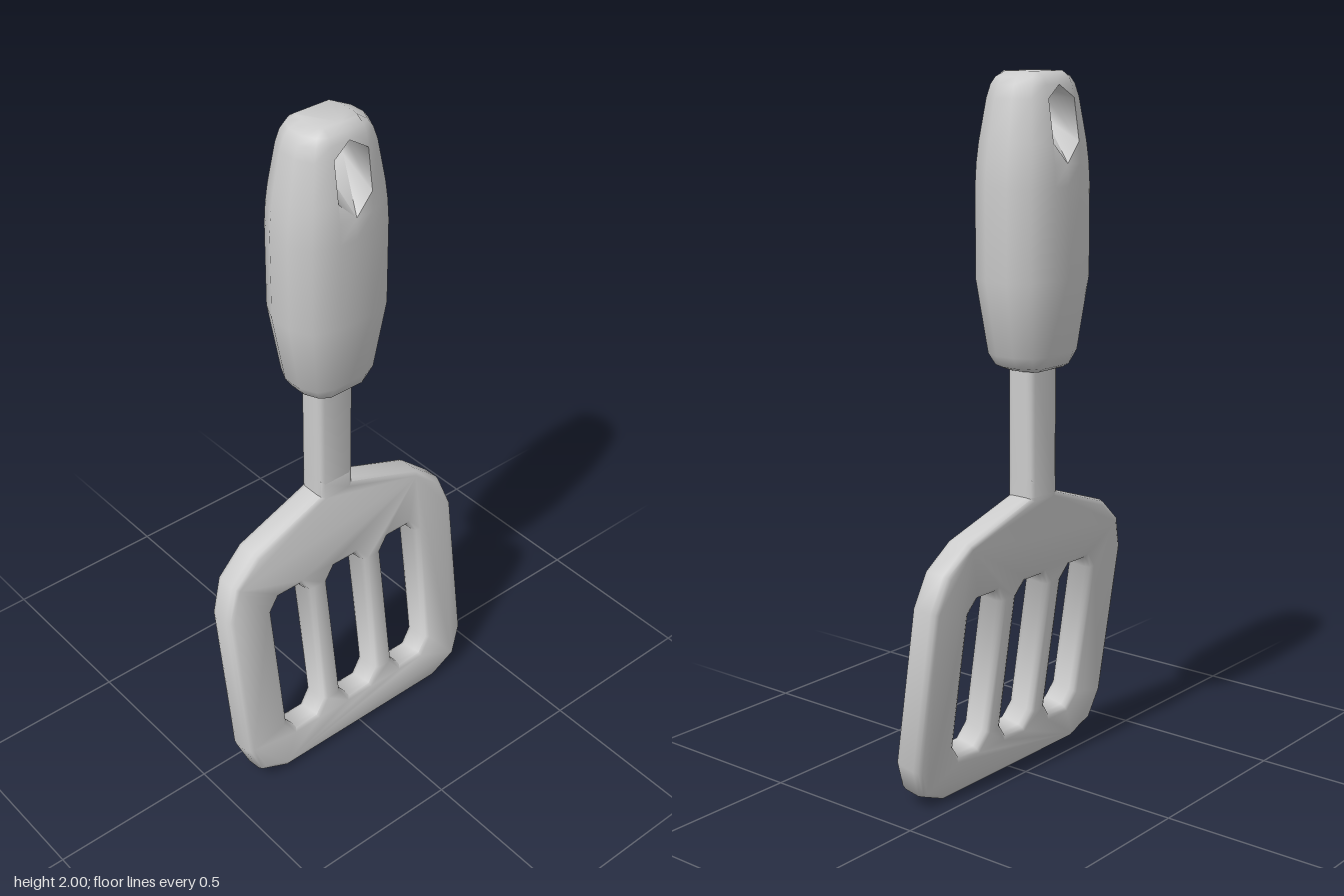
import * as THREE from 'three';
import { toCreasedNormals } from 'three/addons/utils/BufferGeometryUtils.js';

const CENTER_Z = -0.024;
const material = new THREE.MeshStandardMaterial({ color: 0xcccccc });

function part(name, geometry, crease) {
  const mesh = new THREE.Mesh(toCreasedNormals(geometry, crease), material);
  mesh.name = name;
  return mesh;
}

// Closed list of points from a right half, mirrored across x = 0
function mirrored(half) {
  const left = half.map(([x, y]) => [-x, y]).reverse();
  return [...half, ...left].map(([x, y]) => new THREE.Vector2(x, y));
}

// Slotted blade, bent forward below the neck; its top tab sits in the neck
function blade() {
  const shape = new THREE.Shape(mirrored([
    [0.06, 0.9], [0.06, 0.845], [0.3, 0.765], [0.385, 0.695], [0.42, 0.595],
    [0.42, 0.13], [0.385, 0.043], [0.295, 0.005],
  ]));
  // Slots wind against the outline
  const slot = mirrored([[0.038, 0.125], [0.069, 0.165], [0.069, 0.56], [0.038, 0.597]]);
  for (const x of [-0.205, 0, 0.205]) {
    shape.holes.push(new THREE.Path(slot.map((p) => new THREE.Vector2(p.x + x, p.y))));
  }
  const geometry = new THREE.ExtrudeGeometry(shape, {
    depth: 0.048, bevelThickness: 0.02, bevelSize: 0.016, bevelOffset: -0.016, bevelSegments: 2,
  });
  geometry.translate(0, 0, -0.024);
  const pos = geometry.attributes.position;
  for (let i = 0; i < pos.count; i++) {
    const y = pos.getY(i), z = pos.getZ(i);
    const drop = Math.max(0, 0.845 - y);
    pos.setY(i, y + 0.18 * z * Math.min(1, drop / 0.6));
    pos.setZ(i, z + CENTER_Z + 0.15 * drop);
  }
  return part('blade', geometry, 1);
}

// Straight neck with rounded corners that match the blade's edge
function neck() {
  const shape = new THREE.Shape(mirrored([
    [0.044, -0.044], [0.0553, -0.0381], [0.06, -0.024], [0.06, 0.024], [0.0553, 0.0381], [0.044, 0.044],
  ]));
  const geometry = new THREE.ExtrudeGeometry(shape, { depth: 0.4, bevelEnabled: false });
  geometry.rotateX(-Math.PI / 2);
  geometry.translate(0, 0.845, CENTER_Z);
  return part('neck', geometry, 1);
}

// Lofted grip with a six-sided hanging hole through it
function handle() {
  const f = 0.055; // half width of the hole and of the flat front strip
  // height, half width, half depth
  const rows = [
    [1.2, 0.07, 0.06], [1.212, 0.1, 0.082], [1.245, 0.122, 0.096], [1.45, 0.157, 0.12],
    [1.7, 0.157, 0.12], [1.76, 0.153, 0.118], [1.815, 0.146, 0.113], [1.93, 0.126, 0.096],
    [1.965, 0.114, 0.088], [1.985, 0.1, 0.078], [2.0, 0.064, 0.056],
  ];
  const low = 5, N = 14; // hole spans rows low to low + 3
  const verts = [], index = [];
  for (const [y, w, d] of rows) {
    const m = Math.max(0.81 * w, 0.06);
    const right = [[f, d], [m, 0.8 * d], [w, 0.3 * d], [w, -0.3 * d], [m, -0.8 * d], [f, -d]];
    const left = right.map(([x, z]) => [-x, z]).reverse();
    for (const [x, z] of [[0, d], ...right, [0, -d], ...left]) verts.push(x, y, z + CENTER_Z);
  }
  const at = (row, j) => row * N + (j % N);

  // Outer skin, leaving the hole open in the front and back strips
  for (let r = 0; r < rows.length - 1; r++) {
    for (let j = 0; j < N; j++) {
      const a = at(r, j), b = at(r, j + 1), c = at(r + 1, j + 1), d = at(r + 1, j);
      const startsAtCenter = j === 0 || j === 7;
      const strip = startsAtCenter || j === 6 || j === 13;
      if (strip && r === low) index.push(...(startsAtCenter ? [a, b, c] : [a, b, d]));
      else if (strip && r === low + 2) index.push(...(startsAtCenter ? [b, c, d] : [a, c, d]));
      else if (!(strip && r === low + 1)) index.push(a, b, c, a, c, d);
    }
  }
  // End caps
  const top = rows.length - 1;
  for (let j = 1; j < N - 1; j++) {
    index.push(at(top, 0), at(top, j), at(top, j + 1));
    index.push(at(0, 0), at(0, j + 1), at(0, j));
  }
  // Tunnel: its floor rises from both faces to the middle
  const rim = (right, center, left) => [
    at(low + 1, right), at(low + 2, right), at(low + 3, center),
    at(low + 2, left), at(low + 1, left), at(low, center),
  ];
  const middle = [[f, 1.872], [f, 1.93], [0, 1.965], [-f, 1.93], [-f, 1.872], [0, 1.842]].map(([x, y]) => {
    verts.push(x, y, CENTER_Z);
    return verts.length / 3 - 1;
  });
  const rings = [rim(1, 0, 13), middle, rim(6, 7, 8)];
  for (let s = 0; s < 2; s++) {
    for (let k = 0; k < 6; k++) {
      const n = (k + 1) % 6, A = rings[s], B = rings[s + 1];
      index.push(A[k], A[n], B[n], A[k], B[n], B[k]);
    }
  }
  const geometry = new THREE.BufferGeometry();
  geometry.setAttribute('position', new THREE.Float32BufferAttribute(verts, 3));
  geometry.setIndex(index);
  return part('handle', geometry, 1.15);
}

export function createModel() {
  const group = new THREE.Group();
  group.name = 'spatula';
  group.add(blade(), neck(), handle());
  return group;
}
